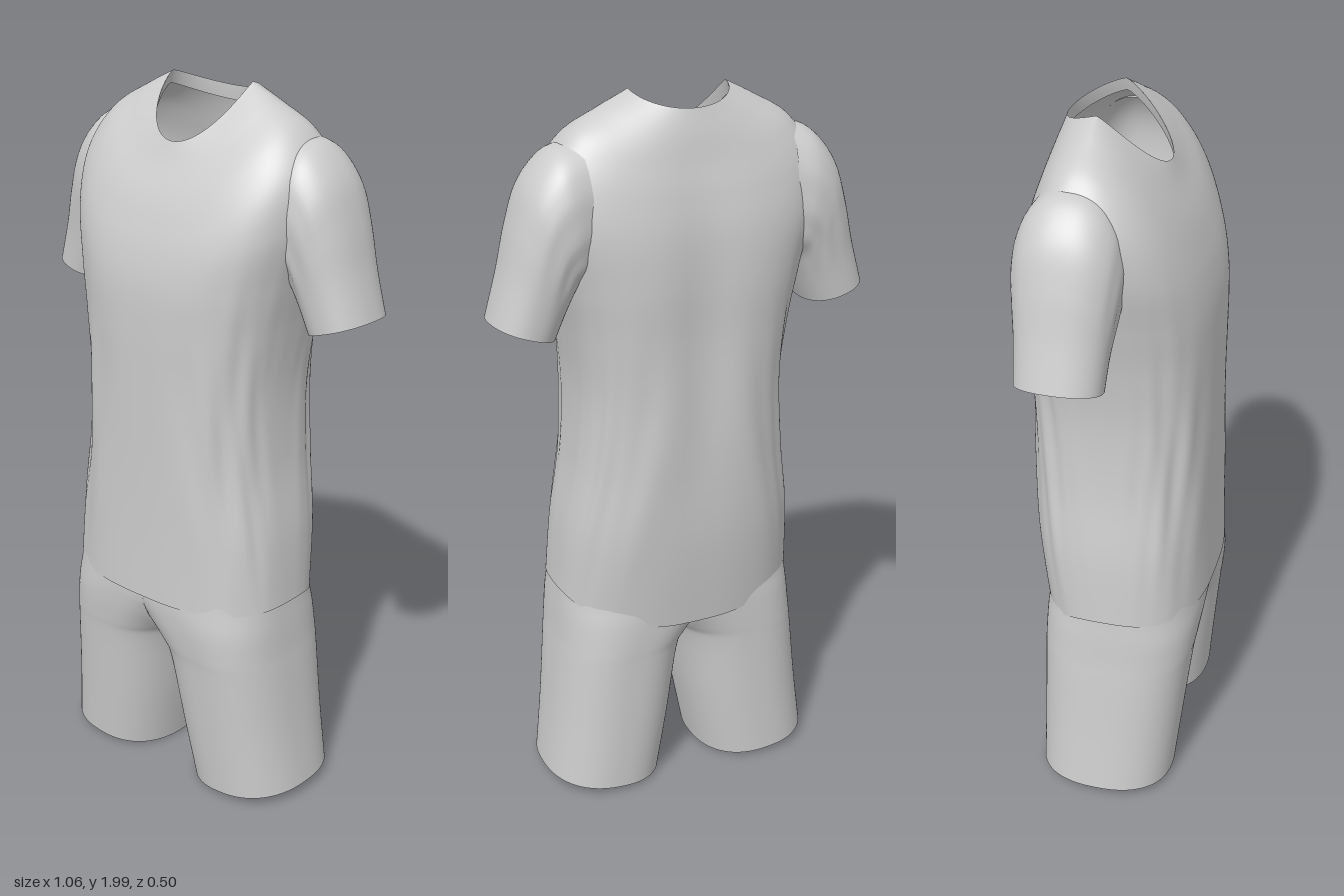
import * as THREE from 'three';

const fabric = new THREE.MeshStandardMaterial({ color: 0xcccccc, side: THREE.DoubleSide, roughness: 0.9 });

// Smooth (Catmull-Rom) blend of a table of ring parameters
function blend(rows, t) {
  const f = t * (rows.length - 1);
  const i = Math.min(Math.floor(f), rows.length - 2), u = f - i;
  const at = k => rows[Math.max(0, Math.min(rows.length - 1, k))];
  return rows[0].map((_, c) => {
    const [a, b, d, e] = [at(i - 1)[c], at(i)[c], at(i + 1)[c], at(i + 2)[c]];
    return b + 0.5 * u * (d - a + u * (2 * a - 5 * b + 4 * d - e + u * (3 * (b - d) + e - a)));
  });
}

// Open tube of closed rings, ordered from top to bottom; skip() drops unwanted quads
function loft(name, rows, steps, segs, point, skip = () => false) {
  const pos = [], index = [];
  for (let i = 0; i <= steps; i++) {
    const row = blend(rows, i / steps);
    for (let j = 0; j < segs; j++) pos.push(...point(row, (j / segs) * Math.PI * 2));
  }
  for (let i = 0; i < steps; i++) {
    for (let j = 0; j < segs; j++) {
      const k = (j + 1) % segs;
      const a = i * segs + j, b = i * segs + k, c = a + segs, d = b + segs;
      if (skip([a, b, c, d].map(n => pos[n * 3]))) continue;
      index.push(a, b, c, b, d, c);
    }
  }
  const g = new THREE.BufferGeometry();
  g.setAttribute('position', new THREE.Float32BufferAttribute(pos, 3));
  g.setIndex(index);
  g.computeVertexNormals();
  const mesh = new THREE.Mesh(g, fabric);
  mesh.name = name;
  return mesh;
}

const spow = (v, p) => Math.sign(v) * Math.pow(Math.abs(v), p);
const bump = (v, mid, width) => Math.exp(-(((v - mid) / width) ** 2));

// Ring through a side, a front and a back point, with drape folds
function torsoPoint([w, ys, zs, yf, zf, yb, zb, p, q], a) {
  const c = Math.cos(a), s = Math.sin(a), m = Math.abs(s);
  const y = ys + ((s > 0 ? yf : yb) - ys) * Math.pow(m, q);
  let x = w * spow(c, p);
  let z = zs + (s > 0 ? zf - zs : zb - zs) * Math.pow(m, p);
  // folds gather on the flanks, fading at chest and hem
  const drape = bump(y, 1.08, 0.34);
  const flank = Math.pow(Math.abs(c), 0.7) * m * 1.6;
  const fold = Math.sin(m * 17 + y * (s > 0 ? 6 : -8)) + 0.6 * Math.sin(m * 31 - y * 9);
  const k = 1 + 0.014 * drape * flank * fold;
  x *= k;
  z = zs + (z - zs) * k;
  // hollow along the spine
  if (s < 0) z += 0.022 * bump(x, 0, 0.09) * bump(y, 1.35, 0.4);
  return [x, y, z];
}

// side width, side y, side z, front y, front z, back y, back z, roundness, dip
const torsoRows = [
  [0.135, 1.99, -0.05, 1.845, 0.105, 1.95, -0.16, 1, 1.2],
  [0.215, 1.95, -0.05, 1.795, 0.13, 1.89, -0.18, 0.92, 1.5],
  [0.305, 1.895, -0.055, 1.72, 0.172, 1.82, -0.198, 0.85, 1.8],
  [0.365, 1.80, -0.06, 1.655, 0.2, 1.74, -0.22, 0.8, 2],
  [0.37, 1.67, -0.06, 1.58, 0.225, 1.64, -0.24, 0.76, 2],
  [0.335, 1.51, -0.04, 1.49, 0.242, 1.51, -0.25, 0.74, 2],
  [0.308, 1.37, -0.02, 1.37, 0.247, 1.37, -0.25, 0.74, 2],
  [0.292, 1.2, 0, 1.2, 0.247, 1.2, -0.249, 0.74, 2],
  [0.302, 1.0, 0, 1.0, 0.247, 1.0, -0.244, 0.74, 2],
  [0.332, 0.8, 0.01, 0.8, 0.249, 0.78, -0.234, 0.74, 2],
  [0.348, 0.61, 0.02, 0.6, 0.254, 0.52, -0.205, 0.74, 2],
];

// Facing inside the neckline
const collarRows = [
  [0.135, 1.99, -0.05, 1.845, 0.105, 1.95, -0.16, 1, 1.2],
  [0.139, 1.975, -0.05, 1.83, 0.107, 1.93, -0.161, 1, 1.2],
  [0.145, 1.955, -0.05, 1.81, 0.109, 1.91, -0.163, 1, 1.2],
];

// outer x, outer y, inner x, inner y, half depth
const sleeveRows = [
  [0.29, 1.88, 0.27, 1.52, 0.125],
  [0.36, 1.858, 0.295, 1.51, 0.137],
  [0.424, 1.785, 0.31, 1.50, 0.135],
  [0.462, 1.68, 0.322, 1.475, 0.127],
  [0.492, 1.56, 0.34, 1.435, 0.118],
  [0.528, 1.437, 0.362, 1.385, 0.112],
];

function sleevePoint([xo, yo, xi, yi, h], a) {
  const c = spow(Math.cos(a), 0.88), s = spow(Math.sin(a), 0.88);
  const t = (1 + c) / 2;
  const pinch = 1 + 0.03 * bump(yi, 1.49, 0.03) * (1 - t) * Math.sin(a * 14);
  return [xi + (xo - xi) * t, yi + (yo - yi) * t, -0.062 + h * s * pinch];
}

// outer x, outer y, inner x, inner y, front z, back z, roundness
const legRows = [
  [0.333, 0.74, -0.333, 0.74, 0.238, -0.2, 0.74],
  [0.342, 0.62, -0.25, 0.62, 0.246, -0.198, 0.74],
  [0.35, 0.54, -0.11, 0.54, 0.243, -0.197, 0.74],
  [0.357, 0.46, -0.025, 0.46, 0.234, -0.196, 0.76],
  [0.364, 0.4, 0.004, 0.4, 0.226, -0.195, 0.78],
  [0.385, 0.21, 0.034, 0.2, 0.207, -0.195, 0.82],
  [0.408, 0.035, 0.068, 0.005, 0.19, -0.195, 0.85],
];

// The two legs meet at x = 0, where the shared inner wall is left out
function legPoint([xo, yo, xi, yi, zf, zb, p], a) {
  const t = (1 + spow(Math.cos(a), p)) / 2;
  const z = (zf + zb) / 2 + ((zf - zb) / 2) * spow(Math.sin(a), p);
  return [Math.max(0, xi + (xo - xi) * t), yi + (yo - yi) * t, z];
}

function addPair(group, make, label) {
  const left = make();
  left.name = 'left' + label;
  const right = left.clone();
  right.name = 'right' + label;
  right.scale.x = -1;
  group.add(left, right);
}

export function createModel() {
  const model = new THREE.Group();
  model.name = 'sportsKit';

  // Shirt
  const shirt = new THREE.Group();
  shirt.name = 'shirt';
  shirt.add(loft('shirtBody', torsoRows, 100, 160, torsoPoint));
  shirt.add(loft('collarFacing', collarRows, 4, 96, torsoPoint));
  addPair(shirt, () => loft('sleeve', sleeveRows, 30, 64, sleevePoint), 'Sleeve');

  // Shorts
  const shorts = new THREE.Group();
  shorts.name = 'shorts';
  const onSeam = xs => xs.every(x => x < 1e-6);
  addPair(shorts, () => loft('leg', legRows, 48, 96, legPoint, onSeam), 'ShortsLeg');

  model.add(shirt, shorts);
  return model;
}
